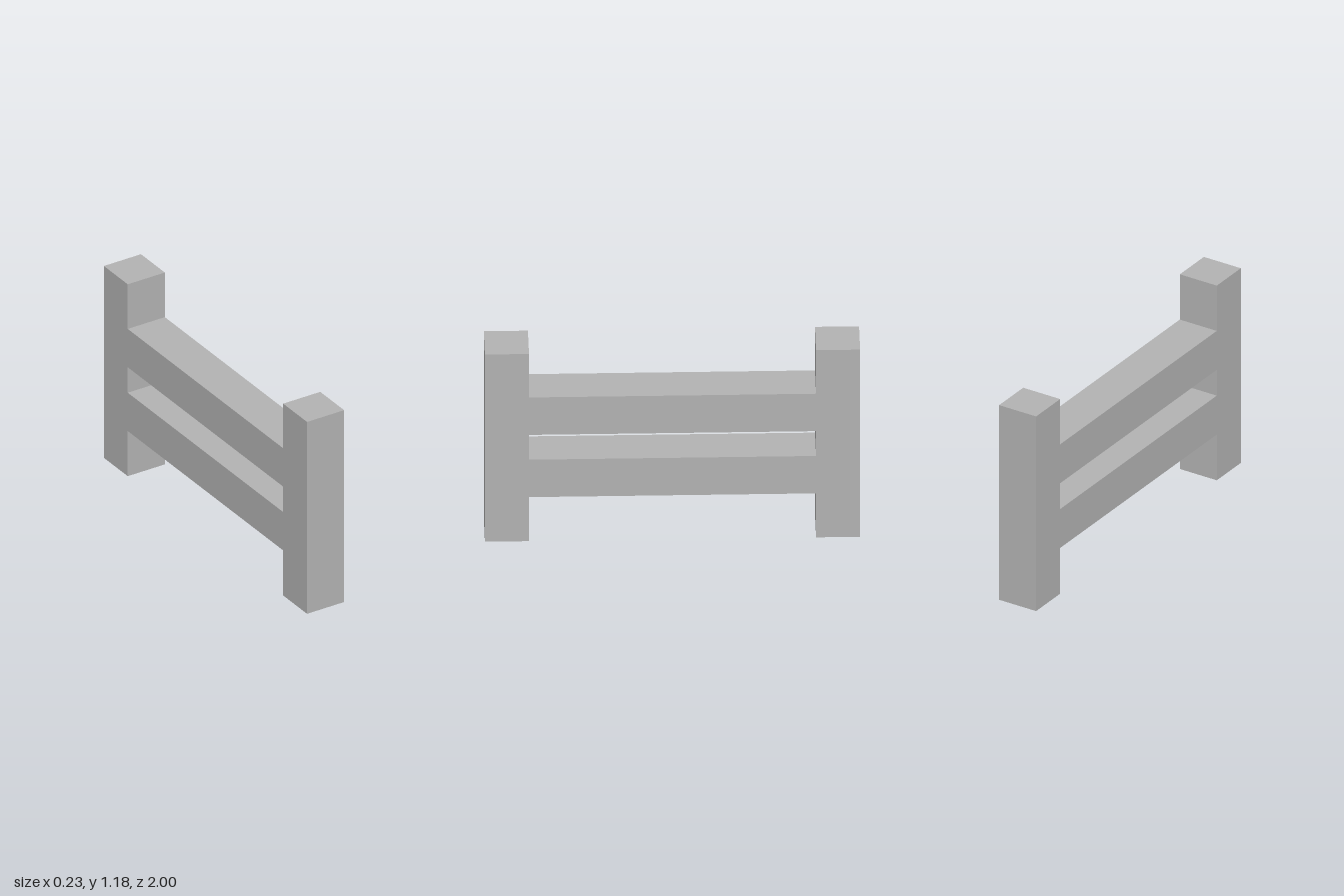
import * as THREE from 'three';

export function createModel() {
  const model = new THREE.Group();
  model.name = 'fence';
  const grey = new THREE.MeshStandardMaterial({ color: 0xb2b2b2 });
  grey.name = 'plain grey';

  const T = 0.235; // square section shared by posts and rails
  const H = 1.176; // post height

  const addBeam = (name, height, depth, y, z) => {
    const mesh = new THREE.Mesh(new THREE.BoxGeometry(T, height, depth), grey);
    mesh.name = name;
    mesh.position.set(0, y, z);
    model.add(mesh);
  };

  // Upright posts at both ends
  addBeam('frontPost', H, T, H / 2, 1 - T / 2);
  addBeam('backPost', H, T, H / 2, -1 + T / 2);

  // Rails fitted between the posts, flush with their sides
  addBeam('lowerRail', T, 2 - 2 * T, 0.394, 0);
  addBeam('upperRail', T, 2 - 2 * T, 0.785, 0);

  return model;
}
